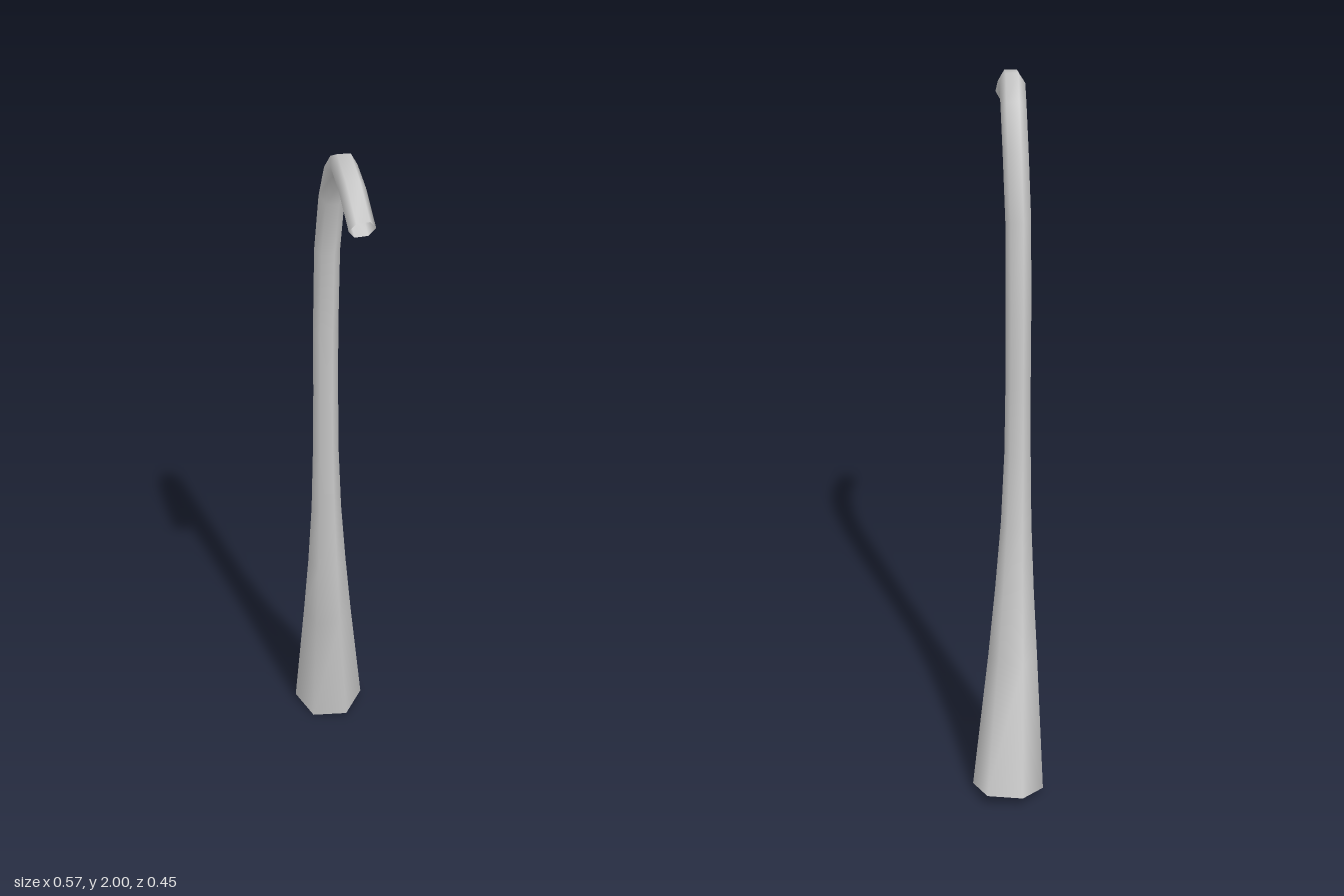
import * as THREE from 'three';

const SIDES = 6;

// Centre line and radius of each ring, from the foot to the tip: [x, y, z, radius]
const RINGS = [
  [-0.19, 0.02, -0.13, 0.1],
  [-0.137, 0.4, -0.076, 0.069],
  [-0.117, 0.6, -0.056, 0.054],
  [-0.101, 0.8, -0.039, 0.042],
  [-0.09, 1.0, -0.027, 0.036],
  [-0.082, 1.2, -0.02, 0.034],
  [-0.075, 1.4, -0.014, 0.034],
  [-0.056, 1.65, -0.002, 0.034],
  [-0.022, 1.82, 0.014, 0.034],
  [0.028, 1.927, 0.043, 0.034],
  [0.095, 1.969, 0.087, 0.034],
  [0.177, 1.949, 0.14, 0.034],
  [0.265, 1.891, 0.194, 0.034],
];

// Sweeps a tapering polygon along the rings without twisting it
function taperedTube(rings) {
  const centres = rings.map(([x, y, z]) => new THREE.Vector3(x, y, z));
  const last = centres.length - 1;
  const out = new THREE.Vector3(-0.98, 0, -0.2);
  const positions = [];
  const index = [];
  centres.forEach((c, i) => {
    const before = c.clone().sub(centres[Math.max(i - 1, 0)]).normalize();
    const after = centres[Math.min(i + 1, last)].clone().sub(c).normalize();
    const tangent = before.add(after).normalize();
    out.addScaledVector(tangent, -out.dot(tangent)).normalize();
    const side = new THREE.Vector3().crossVectors(tangent, out);
    for (let s = 0; s < SIDES; s++) {
      const a = (s / SIDES) * Math.PI * 2;
      const p = c.clone()
        .addScaledVector(out, Math.cos(a) * rings[i][3])
        .addScaledVector(side, Math.sin(a) * rings[i][3]);
      positions.push(p.x, p.y, p.z);
      if (i < last) {
        const p0 = i * SIDES + s;
        const p1 = i * SIDES + ((s + 1) % SIDES);
        index.push(p0, p1, p1 + SIDES, p0, p1 + SIDES, p0 + SIDES);
      }
    }
  });
  const geometry = new THREE.BufferGeometry();
  geometry.setAttribute('position', new THREE.Float32BufferAttribute(positions, 3));
  geometry.setIndex(index);
  geometry.computeVertexNormals();
  return geometry;
}

export function createModel() {
  const group = new THREE.Group();
  group.name = 'hookedStalk';
  // Open-ended stalk: wide foot, slim shaft and hooked tip
  const material = new THREE.MeshStandardMaterial({ color: 0xcccccc, side: THREE.DoubleSide });
  const stalk = new THREE.Mesh(taperedTube(RINGS), material);
  stalk.name = 'stalk';
  group.add(stalk);
  return group;
}
